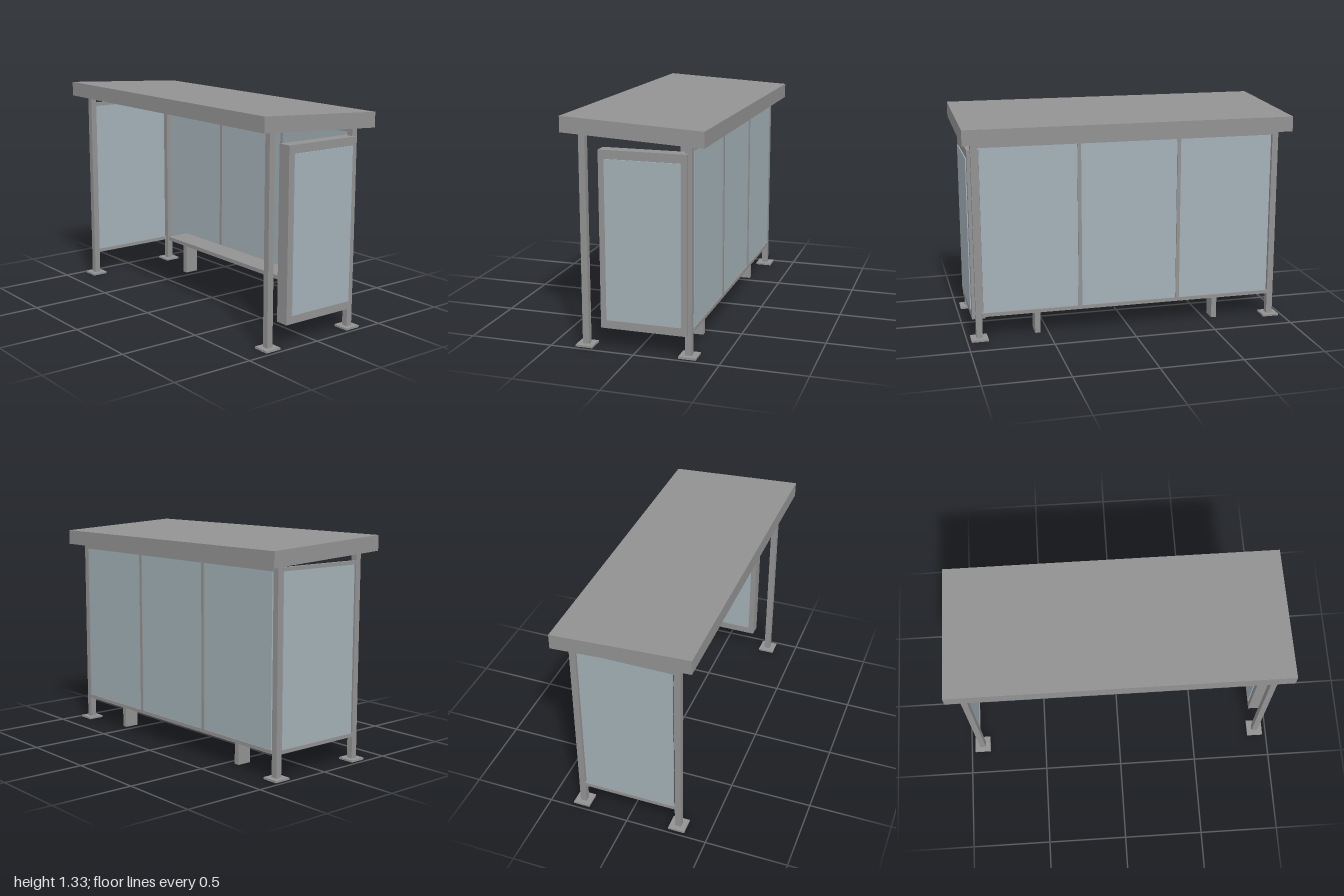
import * as THREE from 'three';

export function createModel() {
  const model = new THREE.Group();
  model.name = 'shelter';
  const metal = new THREE.MeshStandardMaterial({ color: 0x929293 });
  const glass = new THREE.MeshStandardMaterial({ color: 0xa3b1b7 });

  // Box given by its extents along each axis
  function box(name, [x0, x1], [y0, y1], [z0, z1], material = metal) {
    const mesh = new THREE.Mesh(new THREE.BoxGeometry(x1 - x0, y1 - y0, z1 - z0), material);
    mesh.position.set((x0 + x1) / 2, (y0 + y1) / 2, (z0 + z1) / 2);
    mesh.name = name;
    model.add(mesh);
    return mesh;
  }
  const around = (centre, width) => [centre - width / 2, centre + width / 2];

  // Sloping roof slab: a box sheared so its ends stay vertical
  const slope = 0.055;
  const roof = box('roof', [-1, 1], [1.22, 1.311], [-0.411, 0.411]);
  const p = roof.geometry.attributes.position;
  for (let i = 0; i < p.count; i++) p.setY(i, p.getY(i) + slope * p.getZ(i));
  roof.geometry.computeVertexNormals();

  // Corner posts on square base plates
  const postX = 0.925, postZ = 0.307;
  for (const sx of [-1, 1]) {
    for (const sz of [-1, 1]) {
      const x = sx * postX, z = sz * postZ;
      box('post', around(x, 0.038), [0, 1.23 + slope * z], around(z, 0.038));
      box('basePlate', around(x, 0.102), [0, 0.012], around(z, 0.102));
    }
  }

  // Rear wall and closed side wall, set towards the outside of the posts
  const rearZ = -0.321, sideX = -0.935;
  for (const y of [0.157, 1.179]) {
    box('rearRail', [-0.906, 0.906], around(y, 0.022), around(rearZ, 0.022));
    box('sideRail', around(sideX, 0.022), around(y, 0.022), [-0.288, 0.288]);
  }
  for (const x of [-0.307, 0.307]) {
    box('mullion', around(x, 0.022), [0.168, 1.168], around(rearZ, 0.022));
  }
  box('rearGlass', [-0.897, 0.897], [0.163, 1.173], around(rearZ, 0.01), glass);
  box('sideGlass', around(sideX, 0.01), [0.163, 1.173], [-0.28, 0.28], glass);

  // Display case on the other side, with a pane on each face
  box('displayCase', [0.883, 0.964], [0.128, 1.153], [-0.305, 0.204]);
  for (const x of [0.88, 0.967]) {
    box('displayPane', around(x, 0.006), [0.178, 1.103], [-0.271, 0.168], glass);
  }

  // Bench
  box('benchSeat', [-0.665, 0.665], [0.22, 0.245], [-0.285, -0.13]);
  for (const x of [-0.565, 0.565]) {
    box('benchLeg', around(x, 0.033), [0, 0.22], [-0.287, -0.195]);
  }

  return model;
}
